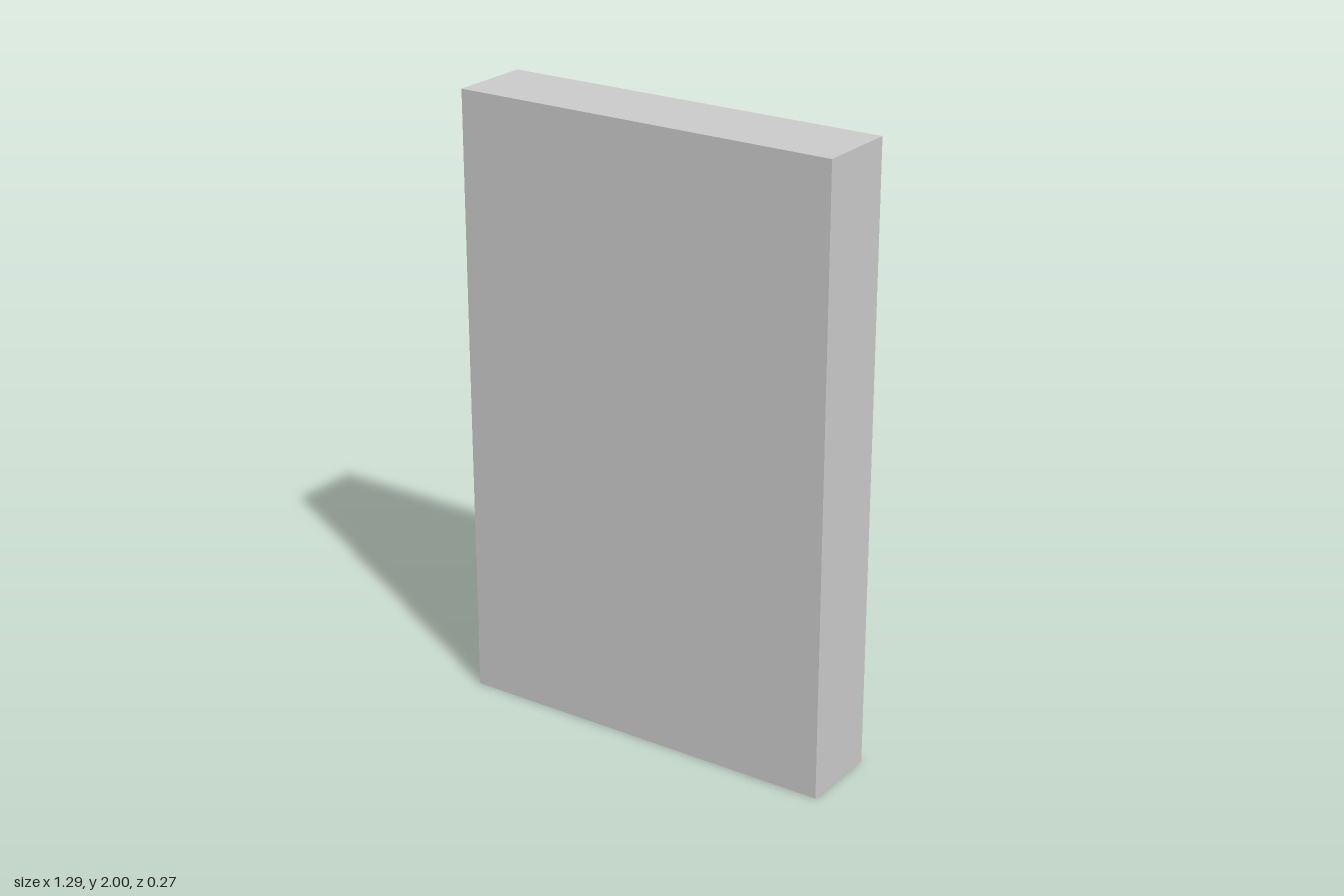
import * as THREE from 'three';
import { toCreasedNormals } from 'three/addons/utils/BufferGeometryUtils.js';

const HALF_W = 0.643, HEIGHT = 2, HALF_D = 0.136;
const CAVITY = 0.15;   // depth of the large pocket
const ENGRAVE = 0.015; // depth of the details in the pocket floor

// Outline of the pocket: rounded top, shallow V at the bottom
function pocketPath() {
  const slope = THREE.MathUtils.degToRad(17);
  const half = 0.475, rTop = 0.28, rLow = 0.19, lowY = 0.556, topY = 1.475;
  const p = new THREE.Path();
  p.moveTo(0, 0.27);
  p.absarc(half - rLow, lowY, rLow, slope - Math.PI / 2, 0);
  p.absarc(half - rTop, topY, rTop, 0, Math.PI / 2);
  p.absarc(rTop - half, topY, rTop, Math.PI / 2, Math.PI);
  p.absarc(rLow - half, lowY, rLow, Math.PI, Math.PI * 1.5 - slope);
  p.closePath();
  return p;
}

function circlePath(y, r) {
  return new THREE.Path().absarc(0, y, r, 0, Math.PI * 2);
}

// Thin horizontal slot with round ends
function slotPath(y, half, r) {
  const p = new THREE.Path();
  p.absarc(half - r, y, r, -Math.PI / 2, Math.PI / 2);
  p.absarc(r - half, y, r, Math.PI / 2, Math.PI * 1.5);
  p.closePath();
  return p;
}

export function createModel() {
  const group = new THREE.Group();
  const material = new THREE.MeshStandardMaterial({ color: 0xcccccc });

  // One layer of the block between two z positions, with holes cut through
  function layer(name, z0, z1, holes) {
    const shape = new THREE.Shape([
      new THREE.Vector2(-HALF_W, 0), new THREE.Vector2(HALF_W, 0),
      new THREE.Vector2(HALF_W, HEIGHT), new THREE.Vector2(-HALF_W, HEIGHT),
    ]);
    shape.holes.push(...holes);
    const geo = new THREE.ExtrudeGeometry(shape, { depth: z1 - z0, bevelEnabled: false, curveSegments: 32 });
    geo.translate(0, 0, z0);
    const mesh = new THREE.Mesh(toCreasedNormals(geo, 0.5), material);
    mesh.name = name;
    group.add(mesh);
  }

  const floorZ = -HALF_D + CAVITY;

  // Rear frame around the pocket
  layer('pocketFrame', -HALF_D, floorZ, [pocketPath()]);

  // Pocket floor with the round recesses and five slots
  const details = [circlePath(1.44, 0.128), circlePath(0.496, 0.035)];
  for (let i = 0; i < 5; i++) details.push(slotPath(1.21 - i * 0.12, 0.35, 0.011));
  layer('engravedFloor', floorZ, floorZ + ENGRAVE, details);

  // Solid front closing the block
  layer('frontSlab', floorZ + ENGRAVE, HALF_D, []);

  return group;
}
